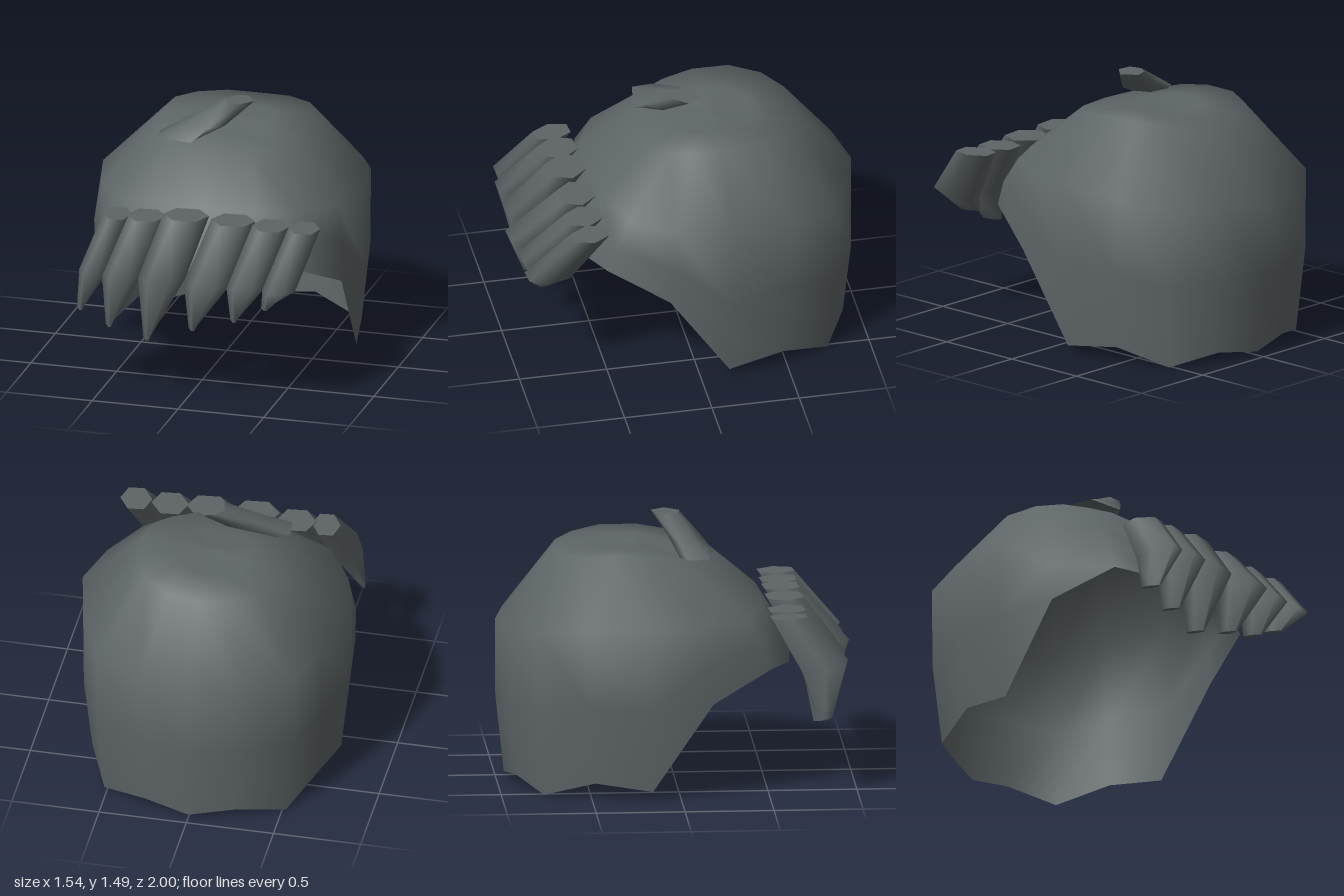
import * as THREE from 'three';

const hair = new THREE.MeshStandardMaterial({ color: 0x5e6567, side: THREE.DoubleSide });
hair.name = 'slate hair';

// Skin closed loops of [x, y, z], listed top to bottom and counterclockwise from above.
function loft(name, loops, capped) {
  const n = loops[0].length, pos = loops.flat(2), index = [];
  for (let r = 0; r < loops.length - 1; r++) {
    for (let i = 0; i < n; i++) {
      const a = r * n + i, b = r * n + (i + 1) % n;
      index.push(a, a + n, b + n, a, b + n, b);
    }
  }
  if (capped) {
    // separate end vertices keep the cut ends crisp
    [loops[0], loops[loops.length - 1]].forEach((loop, end) => {
      const s = pos.length / 3;
      pos.push(...loop.flat());
      for (let i = 1; i < n - 1; i++) {
        if (end) index.push(s, s + i + 1, s + i);
        else index.push(s, s + i, s + i + 1);
      }
    });
  }
  const g = new THREE.BufferGeometry();
  g.setAttribute('position', new THREE.Float32BufferAttribute(pos, 3));
  g.setIndex(index);
  g.computeVertexNormals();
  const mesh = new THREE.Mesh(g, hair);
  mesh.name = name;
  return mesh;
}

// Cap: one column per strand on the left half, front to back: shoulder, widest point, rim
const COLUMNS = [
  [[0, 1.27, 0.22], [0, 1.02, 0.5], [0, 0.7, 0.66]],
  [[0.2, 1.27, 0.2], [0.3, 1.02, 0.48], [0.32, 0.7, 0.63]],
  [[0.32, 1.28, 0.12], [0.54, 1.0, 0.38], [0.57, 0.71, 0.51]],
  [[0.39, 1.31, 0], [0.69, 0.99, 0.13], [0.72, 0.55, 0.18]],
  [[0.42, 1.335, -0.17], [0.77, 1.0, -0.17], [0.71, 0.05, -0.16]],
  [[0.41, 1.34, -0.38], [0.69, 0.97, -0.53], [0.65, 0.09, -0.48]],
  [[0.33, 1.32, -0.55], [0.56, 0.94, -0.8], [0.52, 0, -0.76]],
  [[0.18, 1.31, -0.65], [0.28, 0.91, -0.94], [0.26, 0.06, -0.9]],
  [[0, 1.3, -0.68], [0, 0.9, -1], [0, 0.02, -0.95]],
];

function buildCap() {
  const mirrored = COLUMNS.slice(1, -1).reverse().map(c => c.map(([x, y, z]) => [-x, y, z]));
  const all = [...COLUMNS, ...mirrored];
  const crown = [0, 1.325, -0.2];
  const mix = (a, b, t) => a.map((v, i) => v + (b[i] - v) * t);
  const bulge = (p, s) => [p[0] * s, p[1], (p[2] + 0.2) * s - 0.2];
  return loft('hairCap', [
    all.map(() => crown),
    all.map(c => mix(crown, c[0], 0.5)),
    all.map(c => c[0]),
    all.map(c => c[1]),
    all.map(c => bulge(mix(c[1], c[2], 0.5), 1.03)),
    all.map(c => c[2]),
  ], false);
}

// Six-sided slice of a lock; tilt raises its front edge
function slice(x, y, z, w, d, tilt = 0) {
  return Array.from({ length: 6 }, (_, i) => {
    const a = -Math.PI / 2 + i * Math.PI / 3;
    const f = Math.cos(a);
    return [x + Math.sin(a) * w / 2 + f * 0.02, y + f * tilt, z + f * d / 1.73 - Math.sin(a) * w * 0.05];
  });
}

// Fringe: left and right of the top, top y, tip x, tip y, forward shift
const FRINGE = [
  [-0.54, -0.38, 0.99, -0.625, 0.48, -0.06],
  [-0.4, -0.18, 0.995, -0.455, 0.4, -0.04],
  [-0.19, 0.07, 1.02, -0.235, 0.34, -0.04],
  [0.09, 0.34, 1.015, 0.035, 0.43, 0],
  [0.33, 0.54, 1.005, 0.275, 0.5, -0.02],
  [0.54, 0.72, 1.01, 0.455, 0.59, -0.02],
];

export function createModel() {
  const model = new THREE.Group();
  model.name = 'hair';
  model.add(buildCap());

  const fringe = new THREE.Group();
  fringe.name = 'fringe';
  for (const [l, r, top, tipX, tipY, dz] of FRINGE) {
    const x = (l + r) / 2, w = r - l;
    fringe.add(loft('fringeLock', [
      slice(x, top, 0.62, w, 0.2),
      slice(x - 0.085, 0.71, 0.87 + dz, w * 1.03, 0.24, 0.02),
      slice(tipX, tipY, 0.84 + dz / 2, 0.035, 0.09),
    ], true));
  }
  model.add(fringe);

  // Loose tuft leaning over the crown
  const level = (y, pts) => pts.map(([x, z]) => [x, y, z]);
  model.add(loft('crownTuft', [
    level(1.49, [[-0.02, -0.04], [0, 0.03], [0.08, 0.04], [0.15, -0.04], [0.09, -0.12], [0.02, -0.1]]),
    level(1.37, [[-0.24, 0.02], [-0.22, 0.12], [-0.07, 0.16], [0.01, 0.08], [-0.03, -0.03], [-0.16, -0.01]]),
    level(1.3, [[-0.37, 0.06], [-0.36, 0.18], [-0.15, 0.22], [-0.13, 0.14], [-0.18, 0.04], [-0.3, 0.02]]),
  ], true));
  return model;
}
